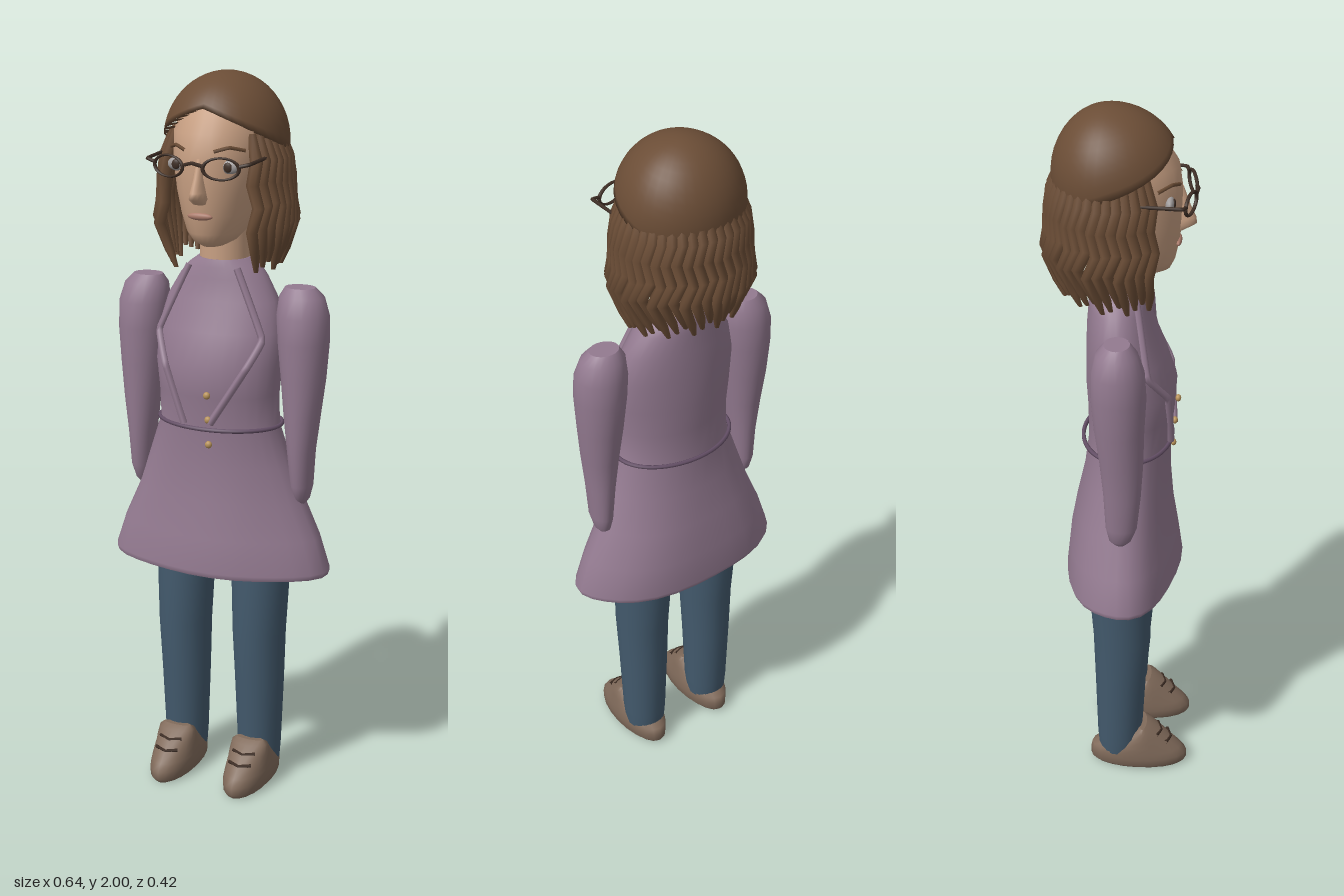
import * as THREE from 'three';
import { mergeVertices } from 'three/addons/utils/BufferGeometryUtils.js';

const mat = (name, color) => {
  const m = new THREE.MeshStandardMaterial({ color });
  m.name = name;
  return m;
};

// Stacks elliptical rings [y, cx, cz, rx, rz, ripple], listed bottom to top, with end caps
function loft(rings, segs = 24) {
  const pos = [], idx = [];
  const ring = ([y, cx, cz, rx, rz, ripple = 0]) => {
    for (let j = 0; j < segs; j++) {
      const a = (j / segs) * Math.PI * 2;
      const k = 1 + ripple * Math.sin(a * 5 + 0.6);
      pos.push(cx + Math.cos(a) * rx * k, y, cz + Math.sin(a) * rz * k);
    }
  };
  rings.forEach(ring);
  for (let i = 0; i < rings.length - 1; i++) {
    for (let j = 0; j < segs; j++) {
      const a = i * segs + j, b = i * segs + (j + 1) % segs, c = a + segs, d = b + segs;
      idx.push(a, c, b, b, c, d);
    }
  }
  // Caps have their own corners so that the rims stay crisp
  [rings[0], rings[rings.length - 1]].forEach((r, top) => {
    const start = pos.length / 3;
    ring(r);
    pos.push(r[1], r[0], r[2]);
    for (let j = 0; j < segs; j++) {
      const p = start + j, q = start + (j + 1) % segs;
      idx.push(start + segs, top ? q : p, top ? p : q);
    }
  });
  const g = new THREE.BufferGeometry();
  g.setAttribute('position', new THREE.Float32BufferAttribute(pos, 3));
  g.setIndex(idx);
  g.computeVertexNormals();
  return g;
}

function tube(points, radius, segs = 24, sides = 6) {
  const curve = new THREE.CatmullRomCurve3(points.map(p => new THREE.Vector3(...p)), false, 'catmullrom', 0.1);
  return new THREE.TubeGeometry(curve, segs, radius, sides);
}

const COAT = [
  [0.645, 0, 0.01, 0.315, 0.157, 0.02], [0.66, 0, 0.01, 0.32, 0.163, 0.02],
  [0.75, 0, 0.008, 0.29, 0.152, 0.025], [0.85, 0, 0.01, 0.245, 0.135, 0.02],
  [0.95, 0, 0.018, 0.21, 0.12, 0.01], [1.06, 0, 0.025, 0.172, 0.112],
  [1.15, 0, 0.03, 0.172, 0.118], [1.23, 0, 0.03, 0.18, 0.123],
  [1.32, 0, 0.015, 0.18, 0.107], [1.4, 0, 0, 0.16, 0.09],
  [1.46, 0, -0.005, 0.125, 0.08], [1.49, 0, -0.008, 0.1, 0.077],
  [1.51, 0, -0.008, 0.072, 0.07],
];

// Depth of the coat front at a given x and y
function coatZ(x, y) {
  const i = Math.max(1, COAT.findIndex(r => r[0] >= y));
  const a = COAT[i - 1], b = COAT[i], t = (y - a[0]) / (b[0] - a[0]);
  const [cz, rx, rz] = [2, 3, 4].map(k => a[k] + (b[k] - a[k]) * t);
  return cz + rz * Math.sqrt(Math.max(0, 1 - (x / rx) ** 2));
}

// Domed hair whose lower edge rises over the forehead
function hairCapGeometry() {
  const g = new THREE.SphereGeometry(1, 36, 14);
  const p = g.attributes.position, uv = g.attributes.uv;
  for (let i = 0; i < p.count; i++) {
    const len = Math.hypot(p.getX(i), p.getZ(i)) || 1;
    const sx = p.getX(i) / len, sz = p.getZ(i) / len;
    const v = 1 - uv.getY(i), tucked = v > 0.99;
    const limit = THREE.MathUtils.degToRad(58 + 55 * Math.pow(Math.max(0, (1 - sz) / 2), 0.6));
    const theta = v < 0.001 ? 0 : limit * Math.min(1, v * 14 / 13);
    const s = Math.sin(theta) * (tucked ? 0.7 : 1);
    p.setXYZ(i, sx * s * 0.168, 1.82 + 0.18 * Math.cos(theta), -0.027 + sz * s * (sz > 0 ? 0.187 : 0.153));
  }
  g.deleteAttribute('uv');
  g.deleteAttribute('normal');
  const merged = mergeVertices(g, 1e-5);
  merged.computeVertexNormals();
  return merged;
}

export function createModel() {
  const model = new THREE.Group();
  model.name = 'woman';
  const coat = mat('mauve coat', 0x937a90), trim = mat('dark mauve trim', 0x655067);
  const denim = mat('blue denim', 0x435a6d), hair = mat('brown hair', 0x6b4d36);
  const skin = mat('skin', 0xc79f82), leather = mat('taupe leather', 0x816b5b);
  const dark = mat('dark brown', 0x3e2e25), eyeGrey = mat('eye grey', 0xa09c9c);
  const lip = mat('lip rose', 0xab7b6b), gold = mat('gold', 0xb8935a);

  const add = (name, geometry, material, pos = [0, 0, 0], scale = [1, 1, 1]) => {
    const m = new THREE.Mesh(geometry, material);
    m.name = name;
    m.position.set(...pos);
    m.scale.set(...scale);
    model.add(m);
    return m;
  };
  const ball = new THREE.SphereGeometry(1, 16, 12);

  // Coat with belt, lapels and buttons
  add('coat', loft(COAT, 30), coat);
  const belt = [];
  for (let i = 0; i < 32; i++) {
    const a = (i / 32) * Math.PI * 2;
    belt.push(new THREE.Vector3(Math.cos(a) * 0.176, 1.06, 0.02 + Math.sin(a) * 0.122));
  }
  add('belt', new THREE.TubeGeometry(new THREE.CatmullRomCurve3(belt, true), 64, 0.006, 6, true), trim);
  const lapels = [
    [[-0.08, 1.49], [-0.155, 1.31], [-0.113, 1.23], [-0.055, 1.07]],
    [[0.065, 1.49], [0.15, 1.31], [0.118, 1.23], [0.025, 1.08]],
  ];
  for (const pts of lapels) {
    add('lapel', tube(pts.map(([x, y]) => [x, y, coatZ(x, y) + 0.008]), 0.01, 30), coat);
  }
  for (const y of [1.02, 1.09, 1.16]) add('button', ball, gold, [0.02, y, coatZ(0.02, y) + 0.008], [0.01, 0.01, 0.008]);

  // Paired sleeves, legs and shoes
  for (const s of [-1, 1]) {
    add('sleeve', loft([
      [0.845, 0.24, 0.015, 0.01, 0.014], [0.86, 0.24, 0.015, 0.022, 0.03],
      [0.9, 0.242, 0.018, 0.03, 0.042], [1.0, 0.24, 0.02, 0.038, 0.05],
      [1.1, 0.24, 0.018, 0.05, 0.058], [1.2, 0.24, 0.012, 0.061, 0.066],
      [1.3, 0.238, 0.01, 0.07, 0.073], [1.37, 0.235, 0.008, 0.072, 0.07],
      [1.42, 0.23, 0.005, 0.062, 0.055], [1.445, 0.225, 0.005, 0.042, 0.034],
    ].map(r => [r[0], r[1] * s, ...r.slice(2)]), 20), coat);

    const x = 0.115 * s;
    add('trouserLeg', loft([
      [0.05, x, 0.005, 0.058, 0.06], [0.1, x, 0.006, 0.062, 0.065],
      [0.3, x, 0.008, 0.07, 0.073], [0.45, x, 0.012, 0.075, 0.082],
      [0.645, x, 0.003, 0.083, 0.088], [0.7, x, 0.003, 0.083, 0.088],
    ], 20), denim);
    add('shoe', loft([
      [0, x, 0.062, 0.052, 0.132], [0.012, x, 0.062, 0.062, 0.142],
      [0.035, x, 0.062, 0.064, 0.142], [0.055, x, 0.056, 0.064, 0.132],
      [0.075, x, 0.062, 0.062, 0.104], [0.1, x, 0.072, 0.058, 0.066],
      [0.125, x, 0.074, 0.054, 0.032], [0.135, x, 0.074, 0.042, 0.012],
    ], 20), leather);
    for (const [y, z] of [[0.105, 0.128], [0.082, 0.156]]) {
      add('lace', tube([[x - 0.034, y + 0.004, z - 0.012], [x, y, z], [x + 0.034, y + 0.004, z - 0.012]], 0.005, 10, 5), dark);
    }
  }

  // Neck and head
  add('neck', new THREE.CylinderGeometry(0.066, 0.07, 0.17, 20), skin, [0, 1.53, -0.008]);
  add('head', loft([
    [1.552, 0, 0.06, 0.028, 0.045], [1.565, 0, 0.052, 0.053, 0.078],
    [1.59, 0, 0.042, 0.075, 0.1], [1.64, 0, 0.025, 0.096, 0.127],
    [1.7, 0, 0.01, 0.113, 0.149], [1.78, 0, 0, 0.128, 0.16],
    [1.85, 0, -0.01, 0.13, 0.16], [1.92, 0, -0.02, 0.108, 0.125],
    [1.96, 0, -0.02, 0.065, 0.075],
  ], 28), skin);
  add('nose', loft([
    [1.672, 0, 0.15, 0.018, 0.015], [1.688, 0, 0.152, 0.024, 0.044],
    [1.705, 0, 0.152, 0.021, 0.042], [1.74, 0, 0.152, 0.014, 0.026],
    [1.79, 0, 0.148, 0.01, 0.012],
  ], 12), skin);
  add('lips', ball, lip, [0, 1.64, 0.15], [0.036, 0.01, 0.009]);

  // Eyes, brows and spectacles
  for (const s of [-1, 1]) {
    add('eye', ball, eyeGrey, [0.074 * s, 1.77, 0.129], [0.028, 0.018, 0.012]);
    add('iris', ball, dark, [0.074 * s, 1.77, 0.139], [0.012, 0.013, 0.005]);
    add('eyebrow', tube([[0.04 * s, 1.81, 0.152], [0.075 * s, 1.82, 0.132], [0.105 * s, 1.81, 0.098]], 0.005, 10, 5), hair);
    const rim = add('spectacleRim', new THREE.TorusGeometry(0.045, 0.005, 6, 24), dark, [0.074 * s, 1.772, 0.182], [1.05, 0.62, 1]);
    rim.rotation.y = 0.26 * s;
    add('spectacleArm', tube([[0.12 * s, 1.779, 0.17], [0.145 * s, 1.785, 0.162], [0.148 * s, 1.79, 0.05]], 0.005, 16, 6), dark);
  }
  add('spectacleBridge', tube([[-0.03, 1.777, 0.193], [0, 1.785, 0.198], [0.03, 1.777, 0.193]], 0.005, 8, 6), dark);

  // Hair: smooth crown above a curtain of wavy strands
  add('hairCrown', hairCapGeometry(), hair);
  const wave = [
    [1.485, 0.78, 0.09, 0.006], [1.53, 0.86, 0.02, 0.013], [1.6, 0.98, -0.1, 0.016],
    [1.66, 0.93, 0.03, 0.017], [1.72, 0.91, -0.06, 0.018], [1.78, 0.87, 0.03, 0.018], [1.85, 0.74, 0, 0.014],
  ];
  const count = 31;
  for (let i = 0; i < count; i++) {
    const phi = THREE.MathUtils.degToRad(50 + (260 * i) / (count - 1));
    const lift = 0.025 * Math.max(0, -Math.cos(phi)) + 0.012 * (i % 3);
    add('hairStrand', loft(wave.map(([y, k, twist, r], n) => {
      const a = phi + twist;
      return [y + lift * (1 - n / 6), Math.sin(a) * 0.188 * k, -0.02 + Math.cos(a) * 0.18 * k, r, r];
    }), 7), hair);
  }
  return model;
}
